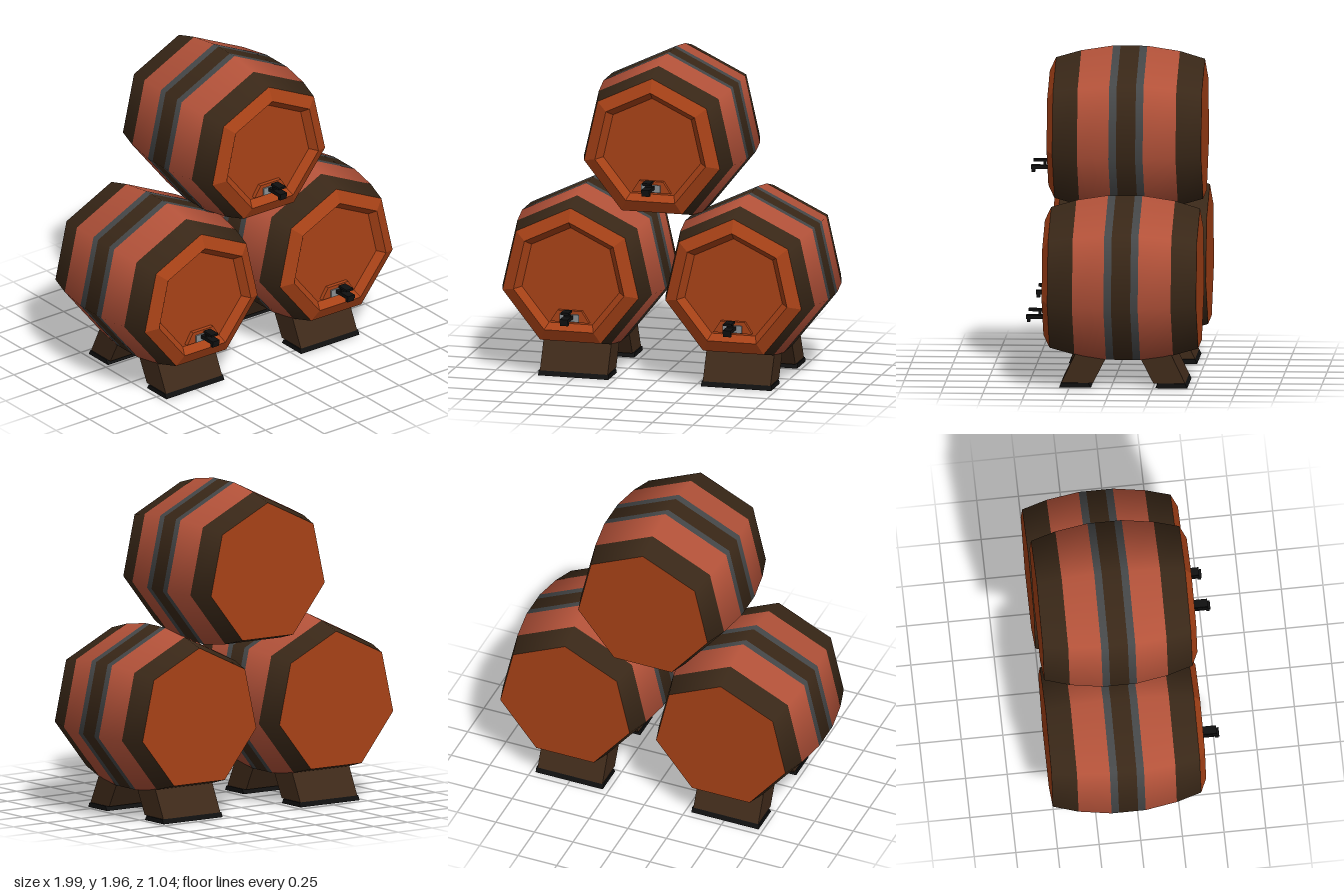
import * as THREE from 'three';

const mat = (color, flatShading = false) => new THREE.MeshStandardMaterial({ color, flatShading });
const wood = mat(0xb5533a), dark = mat(0x3a2818), iron = mat(0x464849);
const lid = mat(0xa84217, true), timber = mat(0x3f2a1a, true), black = mat(0x101010, true), steel = mat(0x8a8f92, true);

function add(parent, name, geometry, material, x = 0, y = 0, z = 0) {
  const mesh = new THREE.Mesh(geometry, material);
  mesh.name = name;
  mesh.position.set(x, y, z);
  parent.add(mesh);
  return mesh;
}

const box = (parent, name, material, w, h, d, x, y, z) =>
  add(parent, name, new THREE.BoxGeometry(w, h, d), material, x, y, z);

// Seven-sided ring along z with one corner up; profile is [radius, z] from back to front
function ring(parent, name, material, profile) {
  const points = profile.map(([r, z]) => new THREE.Vector2(r, z));
  const geometry = new THREE.LatheGeometry(points, 7, Math.PI).rotateX(Math.PI / 2);
  return add(parent, name, geometry, material);
}

// Prism with a [z, y] outline, stretched along x
function crossPrism(parent, name, material, outline, width) {
  const shape = new THREE.Shape(outline.map(([z, y]) => new THREE.Vector2(-z, y)));
  const geometry = new THREE.ExtrudeGeometry(shape, { depth: width, bevelEnabled: false });
  geometry.translate(0, 0, -width / 2).rotateY(Math.PI / 2);
  return add(parent, name, geometry, material);
}

function createTap() {
  const tap = new THREE.Group();
  tap.name = 'tap';
  // Sloped mounting plate sitting in the lid recess
  const plate = new THREE.Shape([[-0.12, -0.035], [0.12, -0.035], [0.075, 0.035], [-0.075, 0.035]]
    .map(([x, y]) => new THREE.Vector2(x, y)));
  add(tap, 'tapPlate', new THREE.ExtrudeGeometry(plate, { depth: 0.03, bevelEnabled: false }), lid, 0, 0, 0.36);
  box(tap, 'tapFlange', steel, 0.12, 0.045, 0.012, 0, -0.008, 0.394);
  // Pipe, spout and handle
  box(tap, 'tapPipe', black, 0.05, 0.022, 0.13, 0, 0, 0.455);
  box(tap, 'tapSpout', black, 0.05, 0.03, 0.02, 0, -0.014, 0.505);
  box(tap, 'tapStem', black, 0.035, 0.04, 0.015, 0, 0.026, 0.437);
  box(tap, 'tapHandle', black, 0.05, 0.014, 0.08, 0, 0.042, 0.465);
  tap.position.y = -0.23;
  return tap;
}

function createBarrel(x, y) {
  const barrel = new THREE.Group();
  barrel.name = 'barrel';
  const bands = [
    ['backHoop', dark, [0.43, -0.52], [0.475, -0.37]],
    ['backStaves', wood, [0.475, -0.37], [0.505, -0.175]],
    ['backIronBand', iron, [0.505, -0.175], [0.505, -0.13]],
    ['middleHoop', dark, [0.505, -0.13], [0.505, -0.015]],
    ['frontIronBand', iron, [0.505, -0.015], [0.505, 0.03]],
    ['frontStaves', wood, [0.505, 0.03], [0.475, 0.22]],
    ['frontHoop', dark, [0.475, 0.22], [0.432, 0.37]],
  ];
  for (const [name, material, ...profile] of bands) ring(barrel, name, material, profile);
  ring(barrel, 'backLid', lid, [[0, -0.52], [0.43, -0.52]]);
  // Bevelled front lid with a sunken panel
  ring(barrel, 'frontLid', lid, [[0.432, 0.37], [0.352, 0.408], [0.31, 0.365], [0, 0.365]]);
  barrel.add(createTap());
  barrel.position.set(x, y, 0);
  return barrel;
}

// Pair of splayed legs below a barrel, mirrored about its middle
function createStand(x) {
  const stand = new THREE.Group();
  stand.name = 'stand';
  const middle = -0.0725;
  for (const side of [1, -1]) {
    const flip = (outline) => outline.map(([z, y]) => [middle + side * (z - middle), y]);
    crossPrism(stand, 'leg', timber, flip([[0.298, 0.028], [0.21, 0.21], [0.03, 0.18], [0.108, 0.028]]), 0.42);
    crossPrism(stand, 'foot', black, flip([[0.311, 0], [0.298, 0.028], [0.136, 0.028], [0.12, 0]]), 0.435);
  }
  stand.position.x = x;
  return stand;
}

export function createModel() {
  const model = new THREE.Group();
  model.name = 'barrelStack';
  for (const x of [-0.505, 0.505]) model.add(createBarrel(x, 0.625), createStand(x));
  model.add(createBarrel(0, 1.455));
  return model;
}
